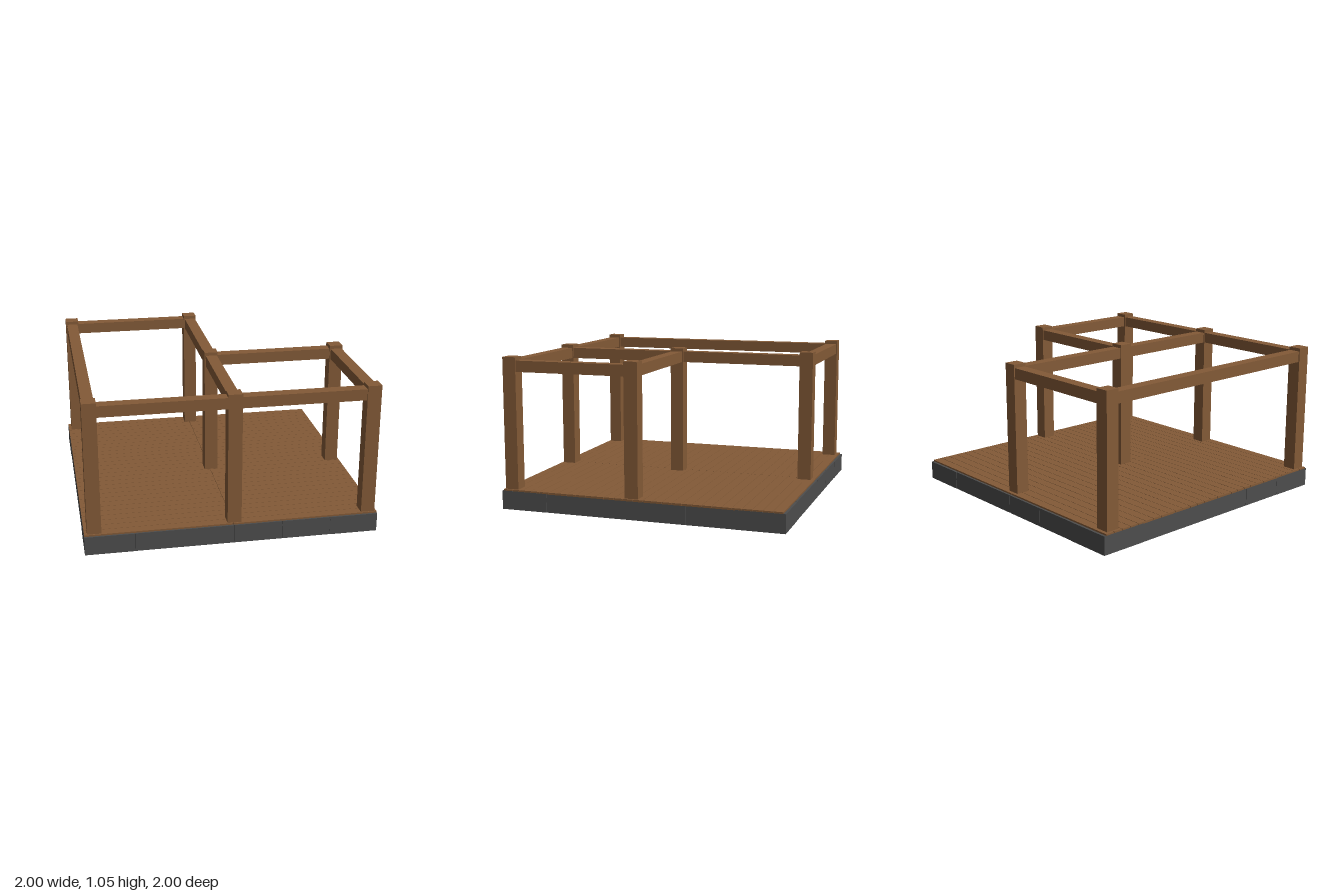
import * as THREE from 'three';

const wood = new THREE.MeshStandardMaterial({ color: 0x835a37, flatShading: true });
const stone = new THREE.MeshStandardMaterial({ color: 0x4d4d4d, flatShading: true });

// Box given by its minimum and maximum corners
function block(parent, name, material, [x0, y0, z0], [x1, y1, z1]) {
  const mesh = new THREE.Mesh(new THREE.BoxGeometry(x1 - x0, y1 - y0, z1 - z0), material);
  mesh.position.set((x0 + x1) / 2, (y0 + y1) / 2, (z0 + z1) / 2);
  mesh.name = name;
  parent.add(mesh);
  return mesh;
}

function group(parent, name) {
  const g = new THREE.Group();
  g.name = name;
  parent.add(g);
  return g;
}

export function createModel() {
  const model = new THREE.Group();
  model.name = 'timberFramePlatform';

  // Stone foundation: two sides and two corners, repeated by a half turn
  const foundation = group(model, 'foundation');
  const top = 0.13, third = 1 / 3, inner = 0.9, gap = 0.002;
  for (let turn = 0; turn < 2; turn++) {
    const half = group(foundation, 'foundationHalf');
    half.rotation.y = turn * Math.PI;
    for (const sx of [-1, 1]) {
      const x0 = sx < 0 ? -1 : 2 * third + gap / 2;
      block(half, 'cornerStone', stone, [x0, 0, 2 * third], [x0 + third - gap / 2, top, 1]);
    }
    for (const [a, b] of [[-2 * third, 0], [0, third], [third, 2 * third + gap]])
      block(half, 'edgeStone', stone, [a + gap, 0, inner], [b - gap / 2, top, 0.998]);
    for (const [a, b] of [[-third, 2 * third], [-2 * third - gap, -third]])
      block(half, 'edgeStone', stone, [inner, 0, a + gap], [0.998, top, b - gap]);
  }

  // Floor boards: two per row, each very slightly askew
  const deck = group(model, 'deck');
  const rows = 29, zStart = -0.985, pitch = 1.975 / rows;
  for (let i = 0; i < rows; i++) {
    for (const side of [0, 1]) {
      const z = zStart + i * pitch;
      const board = block(deck, 'floorBoard', wood,
        [side - 1 + 0.001, 0.127, z + 0.0015], [side - 0.001, 0.141, z + pitch - 0.0015]);
      board.rotation.y = 0.002 * Math.sin(i * 12.9 + side * 4.1);
    }
  }

  // Posts on a three by three plan, with two places left open
  const xs = [-0.932, 0.007, 0.937], zs = [-0.912, 0.052, 0.932];
  const posts = group(model, 'posts');
  const h = 0.0475;
  for (const [i, k] of [[0, 0], [1, 0], [1, 1], [2, 1], [0, 2], [1, 2], [2, 2]])
    block(posts, 'post', wood, [xs[i] - h, 0.132, zs[k] - h], [xs[i] + h, 1.055, zs[k] + h]);

  // Top beams, from post to post
  const beams = group(model, 'beams');
  const w = 0.04;
  for (const [i, k, j, l] of [
    [0, 0, 1, 0], [1, 1, 2, 1], [0, 2, 1, 2], [1, 2, 2, 2],
    [0, 0, 0, 2], [1, 0, 1, 1], [1, 1, 1, 2], [2, 1, 2, 2],
  ]) {
    block(beams, 'beam', wood,
      [xs[i] - w, 0.955, zs[k] - w], [xs[j] + w, 1.032, zs[l] + w]);
  }
  return model;
}
